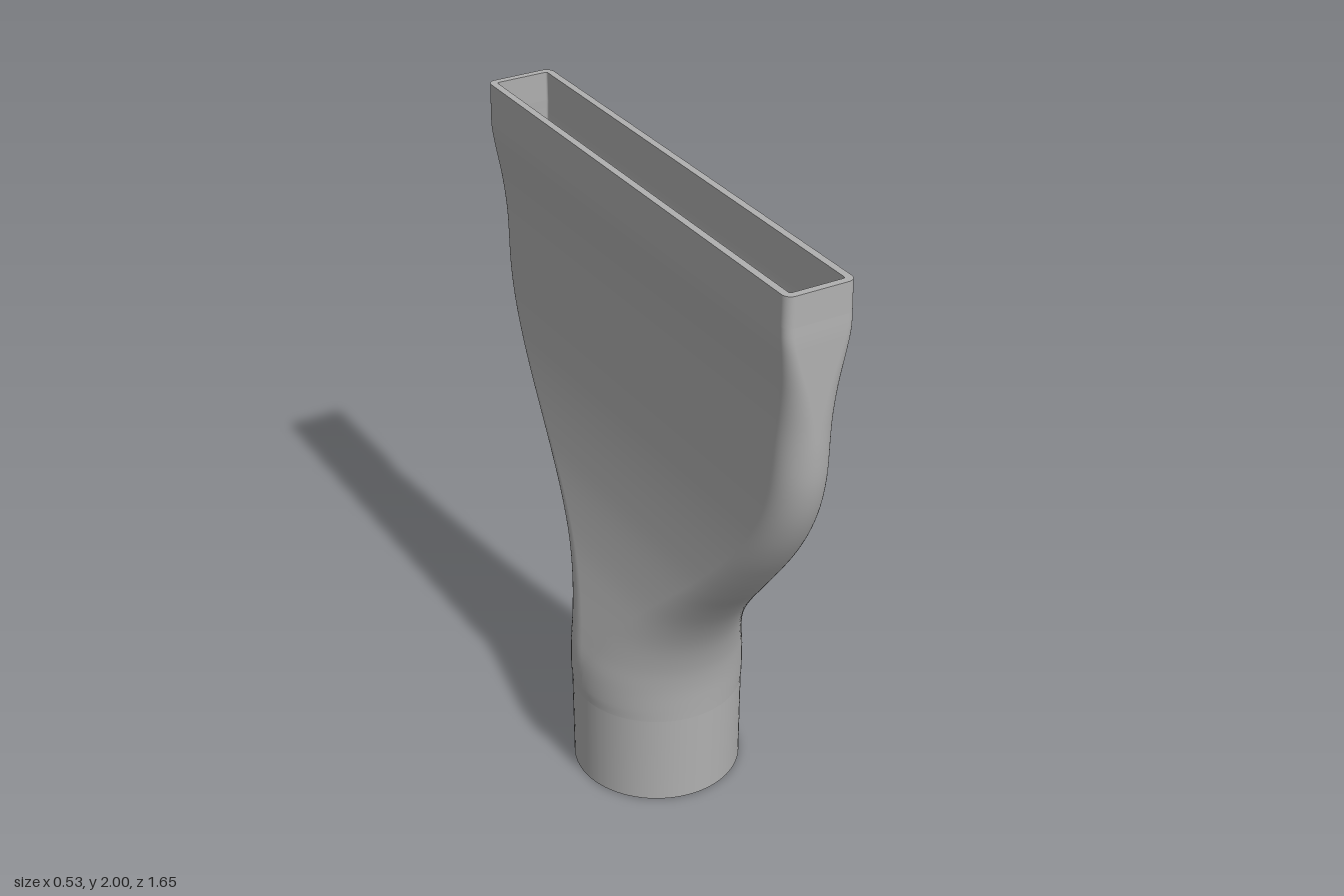
import * as THREE from 'three';
import { mergeVertices } from 'three/addons/utils/BufferGeometryUtils.js';

const WALL = 0.022;
const CORNER_STEPS = 20;

// Rounded-rectangle ring at height y, running from +x towards +z
function ring({ y, hx, hz, r }) {
  const points = [];
  const corners = [[1, 1], [-1, 1], [-1, -1], [1, -1]];
  corners.forEach(([sx, sz], q) => {
    for (let i = 0; i <= CORNER_STEPS; i++) {
      const a = (q + i / CORNER_STEPS) * Math.PI / 2;
      points.push([sx * (hx - r) + r * Math.cos(a), y, sz * (hz - r) + r * Math.sin(a)]);
    }
  });
  return points;
}

// Smooth skin through a list of sections
function loft(sections) {
  const rings = sections.map(ring);
  const n = rings[0].length;
  const index = [];
  for (let j = 0; j < rings.length - 1; j++) {
    for (let i = 0; i < n; i++) {
      const a = j * n + i, b = j * n + (i + 1) % n;
      index.push(a, a + n, b, b, a + n, b + n);
    }
  }
  const geometry = new THREE.BufferGeometry();
  geometry.setAttribute('position', new THREE.Float32BufferAttribute(rings.flat(2), 3));
  geometry.setIndex(index);
  const merged = mergeVertices(geometry, 1e-5);
  merged.computeVertexNormals();
  return merged;
}

// Same section, moved in by the wall thickness
const inset = (s) => ({ y: s.y, hx: s.hx - WALL, hz: s.hz - WALL, r: Math.max(s.r - WALL, 0.006) });

export function createModel() {
  const group = new THREE.Group();
  const grey = new THREE.MeshStandardMaterial({ color: 0xb0b0b0 });
  grey.name = 'grey plastic';

  const add = (name, sections) => {
    const mesh = new THREE.Mesh(loft(sections), grey);
    mesh.name = name;
    group.add(mesh);
  };

  // Transition body: half width, height, half depth
  const keys = [
    [0.264, 0.30, 0.264], [0.267, 0.34, 0.266], [0.260, 0.42, 0.272], [0.236, 0.50, 0.286],
    [0.202, 0.60, 0.319], [0.170, 0.70, 0.372], [0.145, 0.80, 0.443], [0.125, 0.90, 0.525],
    [0.111, 1.00, 0.605], [0.100, 1.10, 0.680], [0.092, 1.20, 0.742], [0.087, 1.30, 0.787],
    [0.084, 1.40, 0.813], [0.082, 1.50, 0.822], [0.082, 1.60, 0.823], [0.088, 1.70, 0.823],
    [0.100, 1.80, 0.823], [0.106, 1.86, 0.823], [0.107, 1.91, 0.821],
  ];
  const curve = new THREE.CatmullRomCurve3(keys.map((k) => new THREE.Vector3(...k)));
  const body = curve.getPoints(72).map((p) => {
    const square = THREE.MathUtils.smoothstep(p.y, 1.5, 1.9);
    return { y: p.y, hx: p.x, hz: p.z, r: THREE.MathUtils.lerp(p.x, 0.026, square) };
  });

  // Round pipe socket below, straight rectangular mouth above
  const socket = [{ y: 0, hx: 0.262, hz: 0.262, r: 0.262 }, { y: 0.3, hx: 0.264, hz: 0.264, r: 0.264 }];
  const mouth = [body[body.length - 1], { y: 2, hx: 0.106, hz: 0.82, r: 0.026 }];

  // Each part has an outer skin and an inner skin facing the other way
  for (const [name, sections] of [['pipeSocket', socket], ['transitionBody', body], ['slotMouth', mouth]]) {
    add(name + 'Outside', sections);
    add(name + 'Inside', sections.map(inset).reverse());
  }

  // Flat rims joining the skins at both ends
  add('socketRim', [inset(socket[0]), socket[0]]);
  add('mouthRim', [mouth[1], inset(mouth[1])]);

  return group;
}
